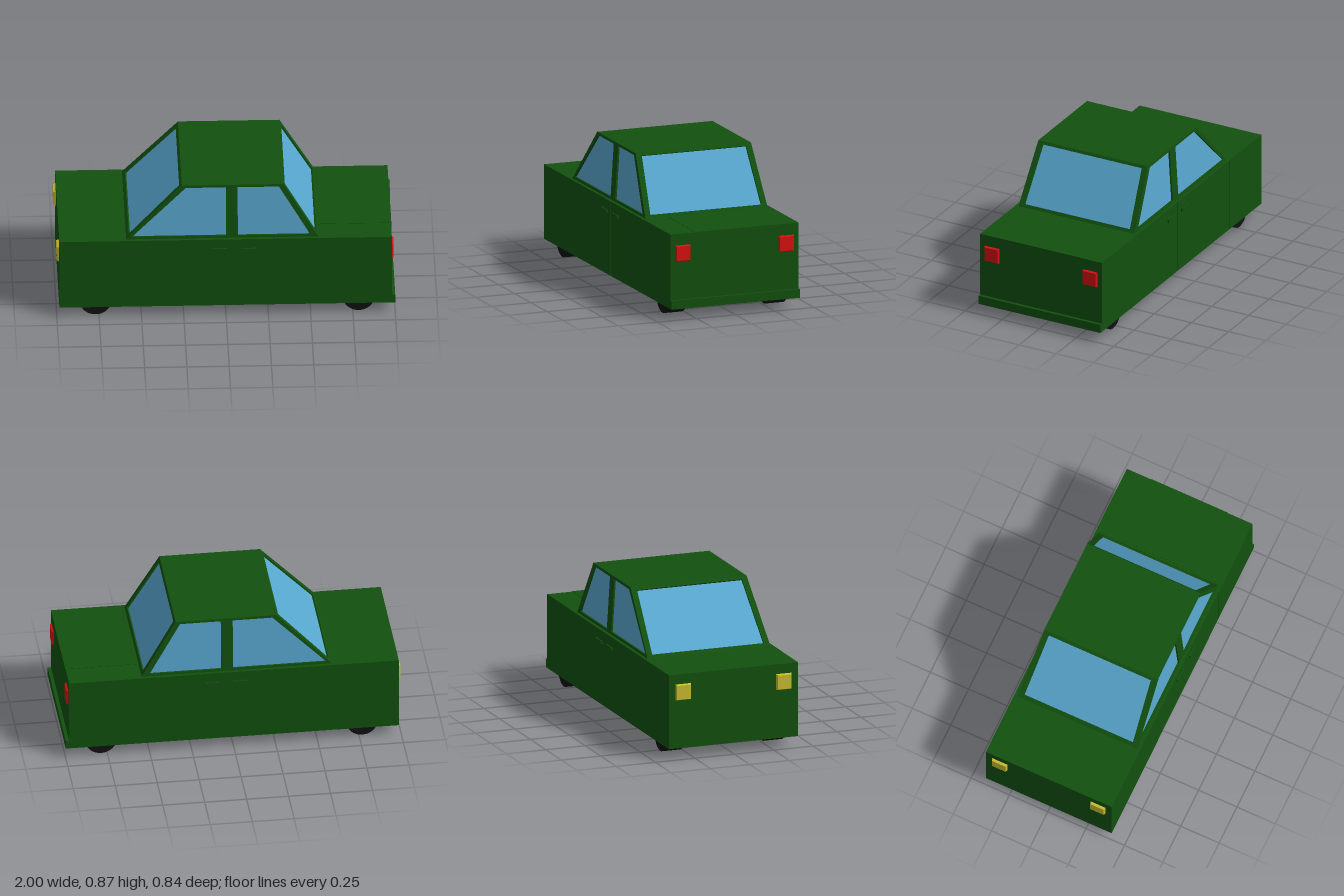
import * as THREE from 'three';

const mat = (color) => new THREE.MeshStandardMaterial({ color });
const green = mat(0x12500f), glass = mat(0x58a8d0), red = mat(0xd81010);
const yellow = mat(0xc8bc30), black = mat(0x101010);

function add(parent, name, geometry, material) {
  const mesh = new THREE.Mesh(geometry, material);
  mesh.name = name;
  parent.add(mesh);
  return mesh;
}

// Box given by its lower and upper limits on each axis
function block(parent, name, [x0, x1], [y0, y1], [z0, z1], material = green) {
  const g = new THREE.BoxGeometry(x1 - x0, y1 - y0, z1 - z0);
  g.translate((x0 + x1) / 2, (y0 + y1) / 2, (z0 + z1) / 2);
  return add(parent, name, g, material);
}

// Quads with corners counter-clockwise as seen from outside
function quads(list) {
  const pos = list.flatMap(([a, b, c, d]) => [a, b, c, a, c, d].flatMap((v) => v.toArray()));
  const g = new THREE.BufferGeometry();
  g.setAttribute('position', new THREE.Float32BufferAttribute(pos, 3));
  g.computeVertexNormals();
  return g;
}

// Framed window: outer border, reveal and recessed pane
function framedWindow(parent, name, outer, inner) {
  const n = outer[1].clone().sub(outer[0]).cross(outer[3].clone().sub(outer[0])).normalize();
  const pane = inner.map((p) => p.clone().addScaledVector(n, -0.01));
  const frame = [];
  for (let i = 0; i < 4; i++) {
    const j = (i + 1) % 4;
    frame.push([outer[i], outer[j], inner[j], inner[i]], [inner[i], inner[j], pane[j], pane[i]]);
  }
  add(parent, name + 'Frame', quads(frame), green);
  add(parent, name + 'Glass', quads([pane]), glass);
}

// Lamp whose outer face is slightly smaller than its base
function lamp(parent, name, x0, x1, y, z, size, material) {
  const g = new THREE.BoxGeometry(Math.abs(x1 - x0), size, size);
  const p = g.attributes.position, out = Math.sign(x1 - x0);
  for (let i = 0; i < p.count; i++) {
    if (p.getX(i) * out > 0) p.setXYZ(i, p.getX(i), p.getY(i) * 0.86, p.getZ(i) * 0.86);
  }
  g.computeVertexNormals();
  add(parent, name, g, material).position.set((x0 + x1) / 2, y, z);
}

export function createModel() {
  const car = new THREE.Group();
  car.name = 'car';
  const axles = [-0.77, 0.785];

  // Lower body with open wheel wells in the floor
  const plan = new THREE.Shape();
  plan.moveTo(-0.985, -0.406).lineTo(0.98, -0.406).lineTo(0.98, 0.406).lineTo(-0.985, 0.406).closePath();
  for (const x of axles) {
    for (const s of [-1, 1]) {
      const well = new THREE.Path();
      well.moveTo(x - 0.12, s * 0.24).lineTo(x + 0.12, s * 0.24);
      well.lineTo(x + 0.12, s * 0.39).lineTo(x - 0.12, s * 0.39).closePath();
      plan.holes.push(well);
    }
  }
  const lower = new THREE.ExtrudeGeometry(plan, { depth: 0.15, bevelEnabled: false });
  lower.rotateX(-Math.PI / 2).translate(0, 0.067, 0);
  add(car, 'lowerBody', lower, green);
  block(car, 'upperBody', [-0.985, 0.98], [0.217, 0.519], [-0.406, 0.406]);
  block(car, 'rearBumper', [0.97, 1], [0.067, 0.12], [-0.41, 0.41]);
  block(car, 'trunkBack', [0.97, 0.982], [0.3, 0.519], [-0.25, 0.25]);
  block(car, 'trunkTop', [0.56, 0.982], [0.51, 0.521], [-0.25, 0.25]);

  for (const s of [-1, 1]) {
    const side = s > 0 ? 'right' : 'left';
    const zs = (a, b) => (s > 0 ? [a, b] : [-b, -a]);

    // Side skin, parted by the door gaps
    [[-0.985, -0.592], [-0.588, 0.043], [0.047, 0.498], [0.502, 0.98]].forEach((x, i) =>
      block(car, side + ['FrontFender', 'FrontDoor', 'RearDoor', 'RearFender'][i],
        x, [0.067, 0.519], zs(0.4, 0.41)));

    // Door handles: a grip on two short posts
    for (const x of [-0.08, 0.09]) {
      block(car, side + 'DoorHandle', [x, x + 0.085], [0.439, 0.46], zs(0.414, 0.42));
      for (const px of [x, x + 0.07]) {
        block(car, side + 'HandlePost', [px, px + 0.015], [0.439, 0.46], zs(0.409, 0.415));
      }
    }

    // Wheels
    for (const x of axles) {
      const wheel = new THREE.CylinderGeometry(0.094, 0.094, 0.115, 32);
      wheel.rotateX(Math.PI / 2);
      add(car, side + 'Wheel', wheel, black).position.set(x, 0.094, s * 0.3225);
    }

    lamp(car, side + 'Headlight', -0.983, -1, 0.41, s * 0.32, 0.1, yellow);
    lamp(car, side + 'TailLight', 0.978, 0.992, 0.4, s * 0.33, 0.1, red);

    // Side windows on the leaning cabin wall
    const wall = (pts) => {
      const q = pts.map(([x, y]) => new THREE.Vector3(x, y, s * (0.39 - 0.022 * (y - 0.519) / 0.351)));
      return s > 0 ? q : q.reverse();
    };
    framedWindow(car, side + 'FrontWindow',
      wall([[-0.59, 0.519], [0.035, 0.519], [0.035, 0.87], [-0.26, 0.87]]),
      wall([[-0.555, 0.535], [0, 0.535], [0, 0.854], [-0.237, 0.854]]));
    framedWindow(car, side + 'RearWindow',
      wall([[0.035, 0.519], [0.545, 0.519], [0.34, 0.87], [0.035, 0.87]]),
      wall([[0.07, 0.535], [0.497, 0.535], [0.314, 0.854], [0.07, 0.854]]));
  }

  // Windscreen and back window
  const screen = (x0, x1, s) => (y, z) =>
    new THREE.Vector3(x0 + (x1 - x0) * (y - 0.519) / 0.351, y, s * z);
  for (const [name, x0, x1, s] of [['windscreen', -0.59, -0.26, 1], ['backWindow', 0.545, 0.34, -1]]) {
    const at = screen(x0, x1, s);
    framedWindow(car, name,
      [at(0.519, -0.39), at(0.519, 0.39), at(0.87, 0.368), at(0.87, -0.368)],
      [at(0.537, -0.354), at(0.537, 0.354), at(0.854, 0.333), at(0.854, -0.333)]);
  }

  // Roof
  const r = (x, z) => new THREE.Vector3(x, 0.87, z);
  add(car, 'roof', quads([[r(-0.26, 0.368), r(0.34, 0.368), r(0.34, -0.368), r(-0.26, -0.368)]]), green);

  return car;
}
